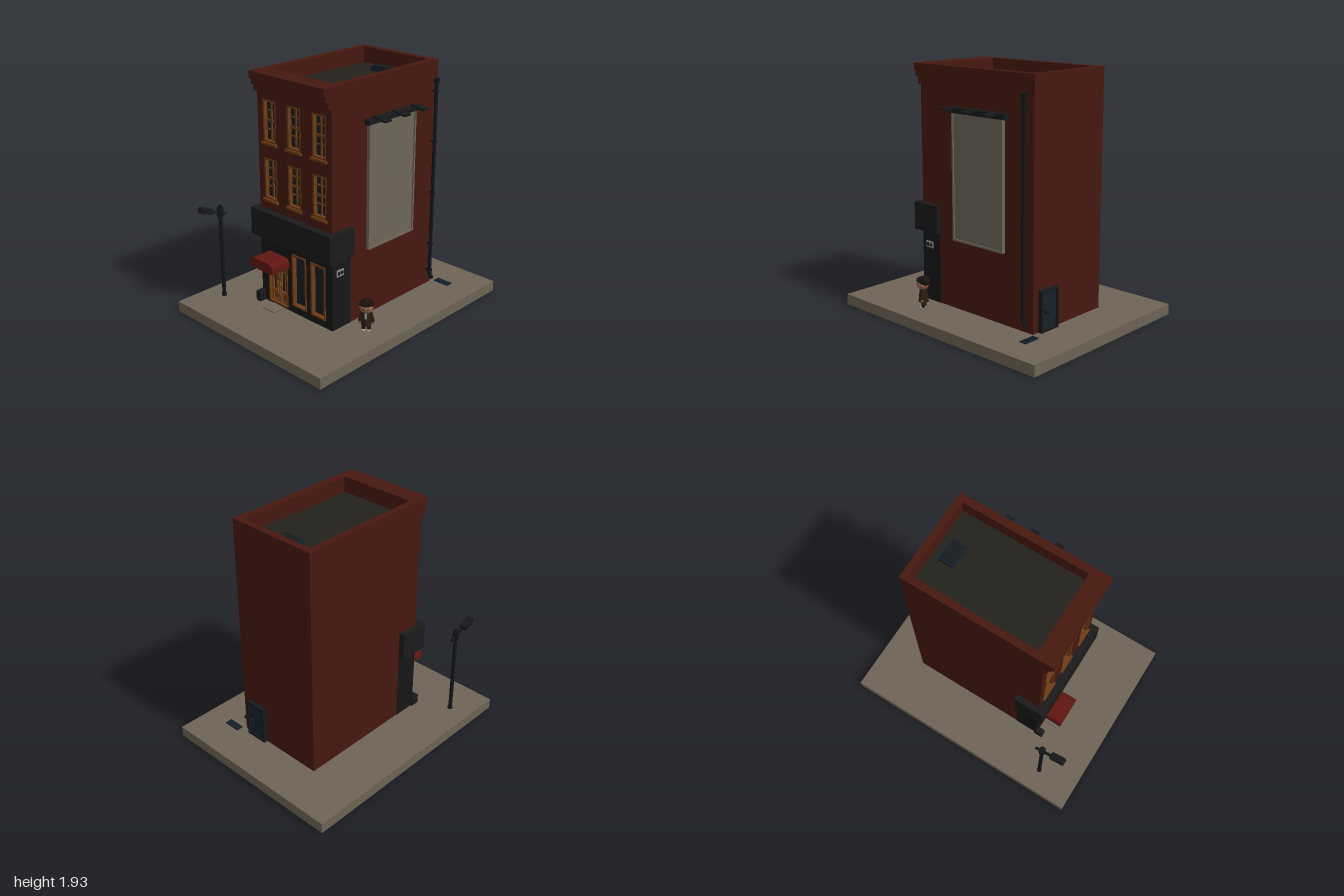
import * as THREE from 'three';

const mat = (color, flatShading = false) => new THREE.MeshStandardMaterial({ color, flatShading });
const M = {
  brick: mat(0x45180f), shop: mat(0x171717), sign: mat(0x1a1a1a), wood: mat(0x6e3c14), door: mat(0x80481a),
  glass: mat(0x162022), stone: mat(0x6e6355), roof: mat(0x23211c), awning: mat(0x601611), iron: mat(0x11161a),
  metal: mat(0x17191b), steel: mat(0x8b8b88), navy: mat(0x14212b), canvas: mat(0x6e6557), skin: mat(0x94684a),
  hair: mat(0x17130f, true), coat: mat(0x2b1c12), shirt: mat(0x9a958c), trousers: mat(0x1e1a18)
};

export function createModel() {
  const root = new THREE.Group();

  const add = (name, geo, material, x = 0, y = 0, z = 0, parent = root) => {
    const m = new THREE.Mesh(geo, material);
    m.name = name;
    m.position.set(x, y, z);
    parent.add(m);
    return m;
  };
  // Box given by its limits on each axis
  const box = (name, material, x0, x1, y0, y1, z0, z1, parent = root) =>
    add(name, new THREE.BoxGeometry(x1 - x0, y1 - y0, z1 - z0), material,
      (x0 + x1) / 2, (y0 + y1) / 2, (z0 + z1) / 2, parent);
  const cyl = (name, material, r0, r1, h, x, y, z, parent = root, sides = 12) =>
    add(name, new THREE.CylinderGeometry(r0, r1, h, sides), material, x, y, z, parent);
  const trace = (path, x0, x1, y0, y1) =>
    path.moveTo(x0, y0).lineTo(x1, y0).lineTo(x1, y1).lineTo(x0, y1).closePath();
  // Flat panel with rectangular openings, extruded along z
  const panel = (outer, holes, depth) => {
    const s = new THREE.Shape();
    trace(s, ...outer);
    for (const h of holes) {
      const p = new THREE.Path();
      trace(p, ...h);
      s.holes.push(p);
    }
    return new THREE.ExtrudeGeometry(s, { depth, bevelEnabled: false });
  };
  const frame = (name, material, [x0, x1, y0, y1], t, z0, z1, parent = root) =>
    add(name, panel([x0, x1, y0, y1], [[x0 + t, x1 - t, y0 + t, y1 - t]], z1 - z0), material, 0, 0, z0, parent);

  const L = -0.353, R = 0.403, G = 0.085;
  box('groundSlab', M.stone, -0.785, 0.785, 0, G, -1, 1);

  // Brick building: core, pierced front wall, parapet and stepped cornice
  const openings = [];
  for (const y of [0.95, 1.395]) for (const x of [-0.228, 0.026, 0.28]) openings.push([x - 0.068, x + 0.068, y, y + 0.323]);
  box('buildingCore', M.brick, L, R, G, 1.8, -0.647, 0.455);
  add('frontWall', panel([L, R, 0.8, 1.8], openings, 0.038), M.brick, 0, 0, 0.455);
  const parapet = panel([L, R, -0.493, 0.647], [[-0.3, 0.342, -0.418, 0.593]], 0.128);
  add('parapet', parapet.rotateX(-Math.PI / 2), M.brick, 0, 1.8, 0);
  [[1.775, 1.825, 0.525], [1.825, 1.872, 0.548], [1.872, 1.928, 0.568]].forEach(([y0, y1, z]) =>
    box('corniceStep', M.brick, L, R, y0, y1, 0.48, z));
  box('roofFloor', M.roof, -0.3, 0.342, 1.795, 1.803, -0.593, 0.418);
  box('roofHatch', M.navy, -0.066, 0.119, 1.8, 1.835, -0.53, -0.408);
  box('roofHatchLid', M.metal, -0.05, 0.103, 1.835, 1.845, -0.515, -0.423);

  // Upper windows: two by three panes in a recessed frame, with a sill
  for (const o of openings) {
    const [x0, x1, y0, y1] = o, cx = (x0 + x1) / 2;
    const w = new THREE.Group();
    w.name = 'upperWindow';
    root.add(w);
    box('windowGlass', M.glass, x0, x1, y0, y1, 0.45, 0.463, w);
    frame('windowFrame', M.wood, o, 0.014, 0.46, 0.494, w);
    box('windowMullion', M.wood, cx - 0.006, cx + 0.006, y0, y1, 0.46, 0.474, w);
    for (const [f, t] of [[0.3, 0.004], [0.5, 0.008], [0.74, 0.004]]) {
      const y = y0 + f * (y1 - y0);
      box('windowBar', M.wood, x0, x1, y - t, y + t, 0.46, 0.474, w);
    }
    box('windowSill', M.wood, x0 - 0.012, x1 + 0.012, y0 - 0.018, y0, 0.47, 0.51, w);
  }

  // Shopfront with two display windows, double door and sign band
  const shopWindows = [[-0.012, 0.138, 0.145, 0.578], [0.188, 0.338, 0.145, 0.578]];
  const doorway = [-0.276, -0.066, 0.098, 0.47];
  box('shopfrontSides', M.shop, L - 0.004, R + 0.004, G, 0.66, 0.305, 0.457);
  add('shopfrontWall', panel([L - 0.004, R + 0.004, G, 0.81], [...shopWindows, doorway], 0.04), M.shop, 0, 0, 0.456);
  for (const o of shopWindows) {
    box('shopGlass', M.glass, o[0], o[1], o[2], o[3], 0.45, 0.466);
    frame('shopWindowFrame', M.wood, o, 0.013, 0.462, 0.504);
  }
  box('signBand', M.sign, -0.4, 0.44, 0.645, 0.865, 0.303, 0.553);
  box('cornerPlinth', M.metal, -0.37, -0.322, G, 0.165, 0.48, 0.553);

  const doors = new THREE.Group();
  doors.name = 'doubleDoor';
  root.add(doors);
  frame('doorFrame', M.wood, doorway, 0.012, 0.46, 0.502, doors);
  for (const s of [-1, 1]) {
    const c = -0.171 + s * 0.047, a = c - 0.045, b = c + 0.045;
    add('doorLeaf', panel([a, b, 0.1, 0.465], [[a + 0.017, b - 0.017, 0.205, 0.445], [a + 0.017, b - 0.017, 0.125, 0.18]], 0.02),
      M.door, 0, 0, 0.462, doors);
    box('doorGlass', M.glass, a + 0.01, b - 0.01, 0.2, 0.45, 0.455, 0.469, doors);
    box('doorKickPanel', M.wood, a + 0.01, b - 0.01, 0.12, 0.185, 0.455, 0.473, doors);
    box('doorBar', M.door, c - 0.003, c + 0.003, 0.2, 0.45, 0.465, 0.474, doors);
    box('doorCrossBar', M.door, a + 0.01, b - 0.01, 0.362, 0.37, 0.465, 0.474, doors);
    box('doorHandle', M.door, -0.171 + s * 0.014 - 0.004, -0.171 + s * 0.014 + 0.004, 0.18, 0.29, 0.488, 0.497, doors);
    for (const y of [0.19, 0.28])
      box('handleMount', M.door, -0.171 + s * 0.014 - 0.003, -0.171 + s * 0.014 + 0.003, y - 0.004, y + 0.004, 0.48, 0.49, doors);
  }
  box('doorMat', M.canvas, -0.235, -0.105, G, 0.092, 0.5, 0.61);

  // Awning: rounded top corners, straight front skirt
  const aw = new THREE.Shape();
  aw.moveTo(-0.296, 0.445).lineTo(-0.046, 0.445).lineTo(-0.046, 0.475);
  aw.quadraticCurveTo(-0.05, 0.525, -0.1, 0.525).lineTo(-0.242, 0.525).quadraticCurveTo(-0.292, 0.525, -0.296, 0.475);
  add('awning', new THREE.ExtrudeGeometry(aw, { depth: 0.172, bevelEnabled: false, curveSegments: 8 }), M.awning, 0, 0, 0.495);

  // Small wall plate on the left side
  box('wallPlate', M.steel, R, 0.414, 0.512, 0.564, 0.38, 0.455);
  box('plateSlot', M.shop, 0.41, 0.417, 0.524, 0.552, 0.422, 0.443);
  box('plateButton', M.shop, 0.41, 0.417, 0.526, 0.55, 0.39, 0.412);

  // Side billboard with lamp rail
  box('billboardPanel', M.canvas, R, 0.42, 0.63, 1.6, -0.373, 0.138);
  const rim = frame('billboardRim', M.canvas, [-0.138, 0.373, 0.63, 1.6], 0.014, 0, 0.028);
  rim.rotation.y = Math.PI / 2;
  rim.position.x = R;
  box('lampRail', M.metal, R, 0.445, 1.597, 1.637, -0.41, 0.167);
  for (const z of [-0.328, -0.122, 0.085]) {
    const arm = box('billboardLampArm', M.metal, 0.42, 0.5, 1.636, 1.65, z - 0.017, z + 0.017);
    arm.rotation.z = -0.06;
    box('billboardLampHead', M.metal, 0.488, 0.556, 1.629, 1.643, z - 0.032, z + 0.032).rotation.z = -0.06;
  }

  // Drainpipe with collars, wall brackets, hopper and bottom elbow
  const px = 0.443, pz = -0.585;
  cyl('drainpipe', M.iron, 0.014, 0.014, 1.57, px, 0.985, pz);
  cyl('drainHopper', M.iron, 0.025, 0.018, 0.035, px, 1.782, pz);
  for (const y of [1.7, 1.305, 0.885, 0.45, 0.22]) {
    cyl('pipeCollar', M.iron, 0.02, 0.02, 0.018, px, y, pz);
    box('pipeBracket', M.iron, R, px, y - 0.005, y + 0.005, pz - 0.006, pz + 0.006);
  }
  const elbow = new THREE.CatmullRomCurve3([[px, 0.23, pz], [px, 0.19, pz - 0.002], [px, 0.14, pz - 0.03]].map(p => new THREE.Vector3(...p)));
  add('drainElbow', new THREE.TubeGeometry(elbow, 8, 0.016, 12), M.iron);
  cyl('drainMouth', M.iron, 0.016, 0.016, 0.002, px, 0.14, pz - 0.03).rotation.x = 0.5;

  // Pavement grate
  const grate = [];
  for (let i = 0; i < 7; i++) grate.push([0.443 + i * 0.0165, 0.452 + i * 0.0165, 0.679, 0.714]);
  add('drainGrate', panel([0.43, 0.566, 0.668, 0.725], grate, 0.008).rotateX(-Math.PI / 2), M.navy, 0, G, 0);
  box('grateBed', M.metal, 0.432, 0.564, G, 0.088, -0.723, -0.67);

  // Back door
  box('backDoor', M.navy, 0.175, 0.332, G, 0.385, -0.665, -0.64);
  frame('backDoorFrame', M.metal, [0.16, 0.347, G, 0.4], 0.016, -0.68, -0.645);
  box('backDoorHandle', M.metal, 0.28, 0.305, 0.22, 0.245, -0.688, -0.66);

  // Street lamp with tilted arm and head
  const lx = -0.613;
  cyl('lampPole', M.iron, 0.015, 0.015, 0.768, lx, 0.469, 0.68);
  cyl('lampBase', M.iron, 0.02, 0.02, 0.02, lx, 0.095, 0.68);
  cyl('lampCollar', M.iron, 0.026, 0.026, 0.07, lx, 0.797, 0.68);
  const lamp = new THREE.Group();
  lamp.name = 'lampArmGroup';
  lamp.position.set(lx, 0.79, 0.68);
  lamp.rotation.x = -0.37;
  root.add(lamp);
  box('lampArm', M.iron, -0.009, 0.009, -0.009, 0.009, -0.058, 0.11, lamp);
  box('lampHead', M.metal, -0.026, 0.026, -0.02, 0.024, 0.088, 0.2, lamp);
  box('lampLens', M.steel, -0.018, 0.018, -0.022, -0.018, 0.105, 0.19, lamp);

  // Small pedestrian with a large head
  const man = new THREE.Group();
  man.name = 'pedestrian';
  man.position.set(0.577, G, 0.315);
  man.rotation.y = 0.6;
  root.add(man);
  const ball = (name, material, r, x, y, z, sx = 1, sy = 1, sz = 1, detail = 16) =>
    add(name, new THREE.SphereGeometry(r, detail, Math.ceil(detail * 0.7)), material, x, y, z, man).scale.set(sx, sy, sz);
  cyl('torso', M.coat, 0.03, 0.04, 0.105, 0, 0.11, 0, man);
  box('shirtFront', M.shirt, -0.008, 0.008, 0.115, 0.158, 0.026, 0.036, man);
  ball('head', M.skin, 0.047, 0, 0.197, 0.004, 1, 0.98, 1);
  ball('hairCap', M.hair, 0.054, 0, 0.22, -0.008, 1, 0.75, 0.95, 9);
  for (let i = 0; i < 5; i++) {
    const a = (i - 2) * 0.5;
    ball('hairFringe', M.hair, 0.018, 0.04 * Math.sin(a), 0.23, 0.04 * Math.cos(a), 1, 0.8, 0.8, 6);
  }
  for (const s of [-1, 1]) {
    cyl('leg', M.trousers, 0.015, 0.015, 0.06, s * 0.019, 0.045, 0, man);
    ball('shoe', M.shirt, 0.017, s * 0.019, 0.011, 0.008, 0.95, 0.65, 1.4);
    cyl('arm', M.coat, 0.012, 0.014, 0.075, s * 0.041, 0.118, 0, man).rotation.z = s * 0.2;
    ball('hand', M.skin, 0.012, s * 0.048, 0.075, 0.002);
    ball('ear', M.skin, 0.01, s * 0.047, 0.193, 0, 0.6, 1, 1, 8);
    ball('eye', M.hair, 0.005, s * 0.017, 0.197, 0.047, 1, 1.2, 0.7, 8);
  }
  return root;
}
